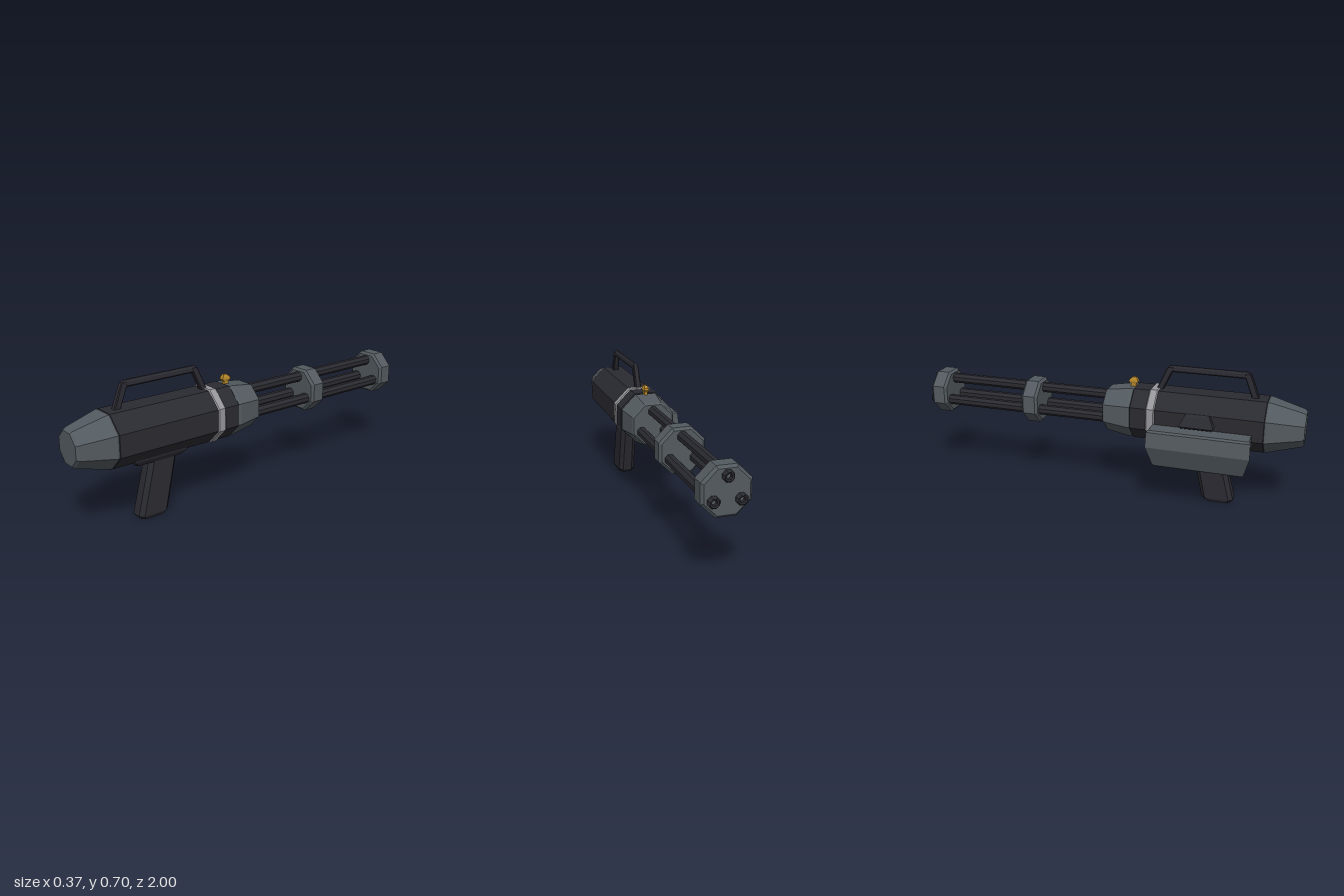
import * as THREE from 'three';
import { ConvexGeometry } from 'three/addons/geometries/ConvexGeometry.js';

const CX = 0.048, CY = 0.445; // axis of the body and barrels

const material = (name, color) => {
  const m = new THREE.MeshStandardMaterial({ color, flatShading: true });
  m.name = name;
  return m;
};

export function createModel() {
  const dark = material('dark metal', 0x2a2a31);
  const grey = material('grey metal', 0x535a5f);
  const silver = material('silver', 0x97979b);
  const gold = material('gold', 0xb8892a);

  const model = new THREE.Group();
  model.name = 'rotaryCannon';

  const add = (name, geometry, mat, parent = model) => {
    const mesh = new THREE.Mesh(geometry, mat);
    mesh.name = name;
    parent.add(mesh);
    return mesh;
  };

  // Solid of revolution along z; profile is [apothem, z] with rising z
  const turned = (name, profile, mat, sides = 8, x = CX, y = CY) => {
    const k = 1 / Math.cos(Math.PI / sides);
    const pts = profile.map(([r, z]) => new THREE.Vector2(r * k, z));
    const geo = new THREE.LatheGeometry(pts, sides, Math.PI / sides);
    geo.rotateX(Math.PI / 2);
    const mesh = add(name, geo, mat);
    mesh.position.set(x, y, 0);
    return mesh;
  };
  const ringProfile = (r, z0, z1, b) =>
    [[0, z0], [r - b, z0], [r, z0 + b], [r, z1 - b], [r - b, z1], [0, z1]];

  // Convex block from levels [y, x0, x1, z0, z1, corner cut]
  const block = (name, levels, mat) => {
    const pts = [];
    for (const [y, x0, x1, z0, z1, c = 0] of levels) {
      for (const [x, sx] of [[x0, 1], [x1, -1]]) {
        for (const [z, sz] of [[z0, 1], [z1, -1]]) {
          pts.push(new THREE.Vector3(x + sx * c, y, z));
          if (c) pts.push(new THREE.Vector3(x, y, z + sz * c));
        }
      }
    }
    return add(name, new ConvexGeometry(pts), mat);
  };

  // Body sections, rear to front
  turned('rearCap', [[0, 0.81], [0.126, 0.81], [0.129, 0.825], [0.086, 0.988], [0.077, 1], [0, 1]], grey);
  turned('mainBody', ringProfile(0.13, 0.265, 0.82, 0.007), dark);
  turned('bodyBand', ringProfile(0.135, 0.233, 0.277, 0.005), silver);
  turned('frontCollar', ringProfile(0.13, 0.146, 0.24, 0.006), dark);
  turned('frontCone', [[0, 0], [0.102, 0], [0.109, 0.008], [0.129, 0.135], [0.125, 0.15], [0, 0.15]], grey);

  // Barrel clamps
  turned('middleClamp', ringProfile(0.112, -0.448, -0.36, 0.012), grey);
  turned('muzzleClamp', ringProfile(0.112, -0.978, -0.89, 0.012), grey);

  // Three barrels with shallow bores
  for (let i = 0; i < 3; i++) {
    const a = Math.PI / 2 + (i * Math.PI * 2) / 3;
    turned('barrel', [[0, -0.975], [0.011, -0.975], [0.012, -0.997], [0.019, -1],
      [0.025, -0.992], [0.025, 0.02], [0, 0.02]], dark, 8,
      CX + 0.07 * Math.cos(a), CY + 0.07 * Math.sin(a));
  }

  // Carrying handle
  const hx = (h) => [CX - h, CX + h];
  block('handleRearPost', [[0.565, ...hx(0.016), 0.737, 0.772, 0.005],
    [0.672, ...hx(0.014), 0.695, 0.731, 0.004], [0.69, ...hx(0.013), 0.692, 0.722, 0.004]], dark);
  block('handleFrontPost', [[0.565, ...hx(0.016), 0.253, 0.288, 0.005],
    [0.672, ...hx(0.014), 0.301, 0.337, 0.004], [0.69, ...hx(0.013), 0.312, 0.342, 0.004]], dark);
  block('handleBar', [[0.667, ...hx(0.01), 0.325, 0.705], [0.673, ...hx(0.014), 0.312, 0.72],
    [0.69, ...hx(0.012), 0.314, 0.719], [0.699, ...hx(0.005), 0.325, 0.708]], dark);

  // Pistol grip and its mount
  block('gripMount', [[0.34, -0.018, 0.114, 0.395, 0.72, 0.012],
    [0.312, -0.012, 0.108, 0.405, 0.71, 0.012], [0.29, 0.0, 0.095, 0.435, 0.685, 0.012]], dark);
  block('grip', [[0.305, 0.006, 0.09, 0.45, 0.603, 0.02],
    [0.022, 0.003, 0.093, 0.513, 0.675, 0.02], [0.003, 0.012, 0.084, 0.53, 0.66, 0.02]], dark);

  // Side magazine: outline rows [x, y, z0, z1]
  const rows = [
    [-0.167, 0.425, 0.27, 0.76], [-0.176, 0.416, 0.262, 0.768], [-0.185, 0.34, 0.26, 0.77],
    [-0.141, 0.235, 0.288, 0.74], [-0.13, 0.225, 0.298, 0.73], [-0.083, 0.225, 0.3, 0.728],
    [-0.073, 0.235, 0.292, 0.737], [-0.063, 0.39, 0.27, 0.758], [-0.063, 0.425, 0.272, 0.756],
  ];
  add('sideMagazine', new ConvexGeometry(rows.flatMap(([x, y, z0, z1]) =>
    [new THREE.Vector3(x, y, z0), new THREE.Vector3(x, y, z1)])), grey);

  // Latch above the magazine
  block('magazineLatch', [[0.435, -0.118, -0.07, 0.418, 0.572], [0.445, -0.126, -0.07, 0.41, 0.58],
    [0.492, -0.098, -0.07, 0.432, 0.558], [0.5, -0.086, -0.07, 0.44, 0.55]], dark);

  // Front sight
  block('sightPost', [[0.56, ...hx(0.009), 0.12, 0.148], [0.598, ...hx(0.008), 0.124, 0.146]], gold);
  block('sightHead', [[0.588, ...hx(0.01), 0.117, 0.152], [0.598, ...hx(0.013), 0.111, 0.159],
    [0.608, ...hx(0.011), 0.114, 0.156], [0.621, ...hx(0.006), 0.13, 0.148]], gold);

  return model;
}
